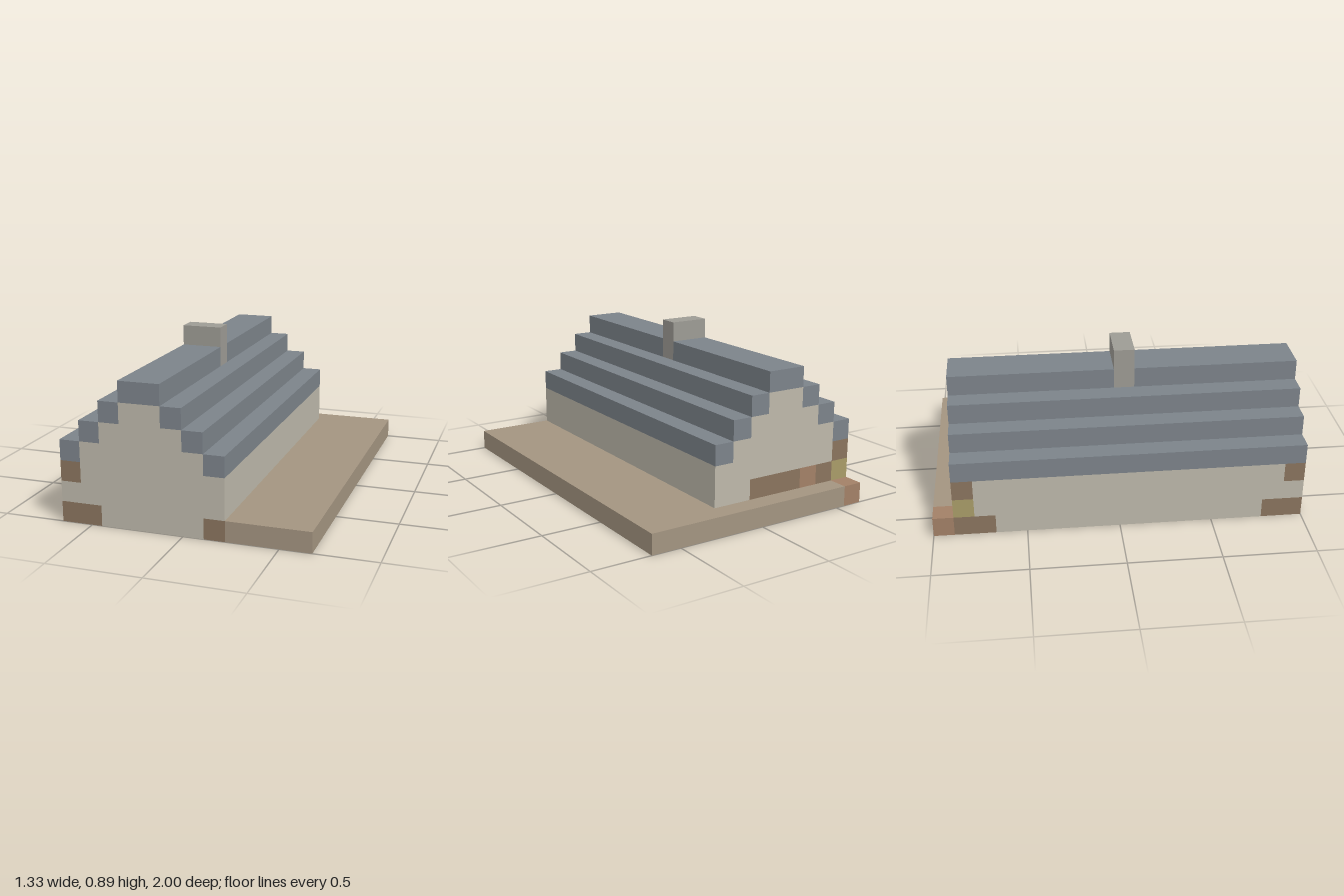
import * as THREE from 'three';

const U = 1 / 9; // size of one block

export function createModel() {
  const model = new THREE.Group();
  model.name = 'blockHouse';
  const colors = {
    ground: 0xa39480, walls: 0xbdb8aa, roof: 0x7c838a, chimney: 0x9d9b94,
    timber: 0x8a745e, paleTimber: 0xa28067, cornerPost: 0xa89c68,
  };

  // Block grid: each filled cell remembers the part it belongs to
  const cells = new Map();
  const key = (p) => p.join(',');
  const fill = (part, [x0, x1], [y0, y1], [z0, z1]) => {
    for (let x = x0; x < x1; x++)
      for (let y = y0; y < y1; y++)
        for (let z = z0; z < z1; z++) cells.set(key([x, y, z]), part);
  };

  // Ground slab, with the yard beside and behind the house
  fill('ground', [-6, 6], [0, 1], [-9, 9]);

  // Long side walls
  for (const x of [-6, 1]) fill('walls', [x, x + 1], [0, 3], [-8, 9]);

  // Stepped gables and the roof steps that cap them
  for (let k = 0; k < 4; k++) {
    for (const x of [-6 + k, 1 - k]) {
      for (const z of [-8, 8]) fill('walls', [x, x + 1], [0, 3 + k], [z, z + 1]);
      fill('roof', [x, x + 1], [3 + k, 4 + k], [-8, 9]);
    }
  }

  // Chimney stack, rising from the hearth through the ridge
  fill('chimney', [-3, -1], [0, 8], [0, 1]);

  // Timber blocks at the corners of the house
  fill('timber', [-6, -4], [0, 1], [8, 9]);
  fill('timber', [-6, -5], [0, 1], [7, 9]);
  fill('timber', [-6, -5], [2, 3], [8, 9]);
  fill('timber', [1, 2], [0, 1], [8, 9]);
  fill('timber', [-6, -5], [0, 1], [-8, -6]);
  fill('timber', [-6, -5], [2, 3], [-8, -7]);
  fill('cornerPost', [-6, -5], [1, 2], [-8, -7]);
  fill('paleTimber', [-6, -5], [0, 1], [-9, -8]);

  // Timber row along the foot of the back wall
  fill('timber', [-5, 0], [1, 2], [-8, -7]);
  fill('paleTimber', [-4, -3], [1, 2], [-8, -7]);

  // Only the exposed block faces become surface; the underside stays open
  const data = {};
  for (const name in colors) data[name] = { pos: [], nor: [], idx: [] };
  for (const [k, part] of cells) {
    const p = k.split(',').map(Number);
    const { pos, nor, idx } = data[part];
    for (let a = 0; a < 3; a++) {
      for (const s of [-1, 1]) {
        const next = [...p];
        next[a] += s;
        if (cells.has(key(next)) || next[1] < 0) continue;
        const b = (a + 1) % 3, c = (a + 2) % 3, base = pos.length / 3;
        for (const [i, j] of [[0, 0], [1, 0], [1, 1], [0, 1]]) {
          const v = [...p];
          if (s > 0) v[a] += 1;
          v[b] += i;
          v[c] += j;
          pos.push(...v.map((n) => n * U));
          const n = [0, 0, 0];
          n[a] = s;
          nor.push(...n);
        }
        const order = s > 0 ? [0, 1, 2, 0, 2, 3] : [0, 2, 1, 0, 3, 2];
        idx.push(...order.map((o) => o + base));
      }
    }
  }

  // One mesh per part
  for (const name in colors) {
    const { pos, nor, idx } = data[name];
    const geo = new THREE.BufferGeometry();
    geo.setAttribute('position', new THREE.Float32BufferAttribute(pos, 3));
    geo.setAttribute('normal', new THREE.Float32BufferAttribute(nor, 3));
    geo.setIndex(idx);
    const mat = new THREE.MeshStandardMaterial({ color: colors[name], side: THREE.DoubleSide });
    const mesh = new THREE.Mesh(geo, mat);
    mesh.name = name;
    model.add(mesh);
  }
  return model;
}
